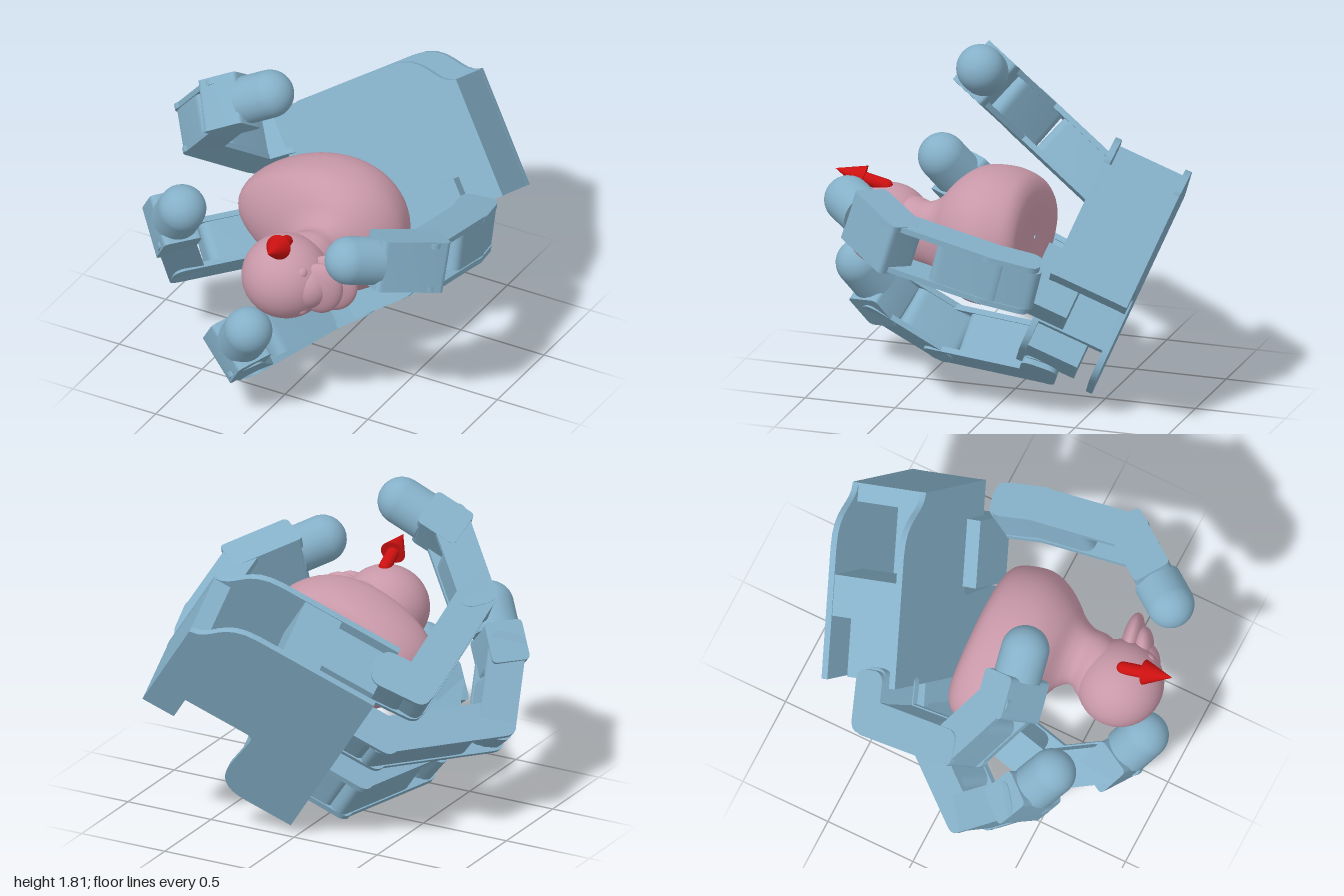
import * as THREE from 'three';
import { toCreasedNormals } from 'three/addons/utils/BufferGeometryUtils.js';

const V = (x, y, z) => new THREE.Vector3(x, y, z);
const blue = new THREE.MeshStandardMaterial({ color: 0x85b0c8, side: THREE.DoubleSide });
const pink = new THREE.MeshStandardMaterial({ color: 0xc898a8 });
const red = new THREE.MeshStandardMaterial({ color: 0xcc1010 });

// Palm frame: origin at the middle of the finger edge
const O = V(-0.22, 0.61, -0.29);
const palmNormal = V(0.14, 0.39, 0.91).normalize();
const fingerDir = V(-0.81, -0.48, 0.33).normalize();
const palmSide = fingerDir.clone().cross(palmNormal).normalize();

function add(parent, name, geo, mat, x = 0, y = 0, z = 0) {
  const m = new THREE.Mesh(geo, mat);
  m.name = name;
  m.position.set(x, y, z);
  parent.add(m);
  return m;
}

function box(parent, name, [x0, x1], [y0, y1], [z0, z1]) {
  return add(parent, name, new THREE.BoxGeometry(x1 - x0, y1 - y0, z1 - z0), blue,
    (x0 + x1) / 2, (y0 + y1) / 2, (z0 + z1) / 2);
}

function extrude(shape, z0, z1) {
  const g = new THREE.ExtrudeGeometry(shape, { depth: z1 - z0, bevelEnabled: false, curveSegments: 8 });
  return toCreasedNormals(g.translate(0, 0, z0), 0.6);
}

function roundedRect(x0, x1, h, r) {
  const s = new THREE.Shape();
  s.moveTo(x0 + r, -h);
  s.lineTo(x1 - r, -h).quadraticCurveTo(x1, -h, x1, -h + r);
  s.lineTo(x1, h - r).quadraticCurveTo(x1, h, x1 - r, h);
  s.lineTo(x0 + r, h).quadraticCurveTo(x0, h, x0, h - r);
  s.lineTo(x0, -h + r).quadraticCurveTo(x0, -h, x0 + r, -h);
  return s;
}

// Group whose x runs from a to b and whose z is the hinge axis
function boneFrame(a, b, hinge, name) {
  const g = new THREE.Group();
  g.name = name;
  const x = b.clone().sub(a).normalize();
  const z = hinge.clone().addScaledVector(x, -hinge.dot(x)).normalize();
  g.quaternion.setFromRotationMatrix(new THREE.Matrix4().makeBasis(x, z.clone().cross(x), z));
  g.position.copy(a);
  return g;
}

// Finger bone: two cheeks, a core with an open fork, and a hinge pin
function link(parent, a, b, hinge, name, gap = 0.22) {
  const g = boneFrame(a, b, hinge, name);
  const len = a.distanceTo(b), w = 0.135, h = 0.1;
  const cheek = roundedRect(-0.07, len + 0.09, h, 0.07);
  add(g, 'cheek', extrude(cheek, w - 0.03, w), blue);
  add(g, 'cheek', extrude(cheek, -w, -w + 0.03), blue);
  add(g, 'core', extrude(roundedRect(-0.085, len + 0.1 - gap, h - 0.008, 0.06), -w + 0.03, w - 0.03), blue);
  const pin = add(g, 'hingePin', new THREE.CylinderGeometry(0.075, 0.075, 2 * w - 0.06, 20), blue, len);
  pin.rotation.x = Math.PI / 2;
  parent.add(g);
}

// Last bone: square root block and a round-ended tip
function tip(parent, a, b, hinge, name) {
  const g = boneFrame(a, b, hinge, name);
  const len = a.distanceTo(b), r = 0.128;
  add(g, 'tipBlock', extrude(roundedRect(-0.09, Math.max(0.13, len - 0.14), 0.105, 0.03), -0.14, 0.14), blue);
  const barrel = add(g, 'tipBarrel', new THREE.CylinderGeometry(r, r, 0.16, 32), blue, len - 0.08);
  barrel.rotation.z = Math.PI / 2;
  add(g, 'fingertip', new THREE.SphereGeometry(r, 32, 20), blue, len);
  parent.add(g);
}

function buildPalm() {
  const g = new THREE.Group();
  g.name = 'palm';
  g.quaternion.setFromRotationMatrix(new THREE.Matrix4().makeBasis(palmSide, fingerDir, palmNormal));
  g.position.copy(O);
  // Plate outline with a flared side, a wrist foot and a notch for the thumb
  const s = new THREE.Shape();
  s.moveTo(-0.25, -1.03);
  s.lineTo(0.41, -1.03);
  s.bezierCurveTo(0.42, -0.9, 0.61, -0.93, 0.61, -0.7);
  s.lineTo(0.61, 0);
  s.lineTo(-0.56, 0);
  s.lineTo(-0.56, -0.28);
  s.quadraticCurveTo(-0.56, -0.45, -0.38, -0.45);
  s.lineTo(-0.13, -0.43);
  s.quadraticCurveTo(-0.09, -0.43, -0.09, -0.48);
  s.lineTo(-0.09, -0.84);
  s.lineTo(-0.25, -0.84);
  s.closePath();
  add(g, 'frontPlate', extrude(s, 0.085, 0.12), blue);
  add(g, 'backPlate', extrude(s, -0.32, -0.285), blue);
  // Walls and motor blocks between the plates
  const d = [-0.29, 0.09];
  box(g, 'wristBlock', [-0.249, 0.41], [-1.029, -0.93], d);
  box(g, 'wristFoot', [-0.249, -0.05], [-0.93, -0.841], d);
  box(g, 'notchWall', [-0.089, -0.05], [-0.841, -0.4], [-0.29, -0.05]);
  box(g, 'crossWall', [-0.4, 0.605], [-0.42, -0.34], d);
  box(g, 'sideWall', [0.3, 0.605], [-0.56, -0.42], d);
  for (const u of [-0.4, 0, 0.42]) box(g, 'fingerMotor', [u - 0.13, u + 0.13], [-0.36, -0.02], [-0.2, 0.09]);
  // Thumb drive housing in the notch
  box(g, 'thumbHousing', [-0.4, -0.07], [-0.84, -0.48], [-0.05, 0.2]);
  return g;
}

function buildFinger(name, offset, splay, p2, p3, end) {
  const g = new THREE.Group();
  g.name = name;
  const root = O.clone().addScaledVector(palmSide, offset);
  const dir = fingerDir.clone().addScaledVector(palmSide, splay).normalize();
  const p1 = root.clone().addScaledVector(dir, 0.18);
  const hinge = dir.clone().cross(p2.clone().sub(p1)).normalize();
  link(g, root, p1, hinge, 'knuckle', 0.12);
  link(g, p1, p2, hinge, 'proximalLink');
  link(g, p2, p3, hinge, 'middleLink');
  tip(g, p3, end, hinge, 'distalLink');
  return g;
}

function buildThumb() {
  const g = new THREE.Group();
  g.name = 'thumb';
  const hinge = V(0, 0.96, -0.28);
  const p = [V(0.71, 0.86, -0.28), V(0.75, 0.9, -0.12), V(0.79, 1.04, 0.41), V(0.525, 1.15, 0.75)];
  link(g, p[0], p[1], hinge, 'thumbKnuckle', 0.1);
  link(g, p[1], p[2], hinge, 'thumbLink', 0.34);
  tip(g, p[2], p[3], hinge, 'thumbDistalLink');
  return g;
}

// Smooth body lofted through [z, xMin, xMax, halfWidth] sections
function loft(rows) {
  const curves = [1, 2, 3].map(k => new THREE.CatmullRomCurve3(rows.map(r => V(r[k], 0, r[0])), false, 'centripetal'));
  const nu = 48, nv = 40, pos = [], idx = [];
  for (let j = 0; j <= nv; j++) {
    const [a, b, c] = curves.map(q => q.getPoint(j / nv));
    for (let i = 0; i < nu; i++) {
      const th = i / nu * Math.PI * 2, co = Math.cos(th);
      // Narrower toward the tail
      pos.push((a.x + b.x) / 2 + (b.x - a.x) / 2 * co, 0.88 + c.x * Math.sin(th) * (1 + 0.2 * co), (a.z + b.z + c.z) / 3);
      if (j < nv) {
        const p = j * nu + i, q = j * nu + (i + 1) % nu;
        idx.push(p, q, p + nu, q, q + nu, p + nu);
      }
    }
  }
  const g = new THREE.BufferGeometry();
  g.setAttribute('position', new THREE.Float32BufferAttribute(pos, 3));
  g.setIndex(idx);
  g.computeVertexNormals();
  return g;
}

function ellipsoid(parent, name, c, s) {
  const m = add(parent, name, new THREE.SphereGeometry(1, 40, 28), pink, ...c);
  m.scale.set(...s);
  return m;
}

function buildDuck() {
  const g = new THREE.Group();
  g.name = 'toyDuck';
  add(g, 'body', loft([
    [-0.12, 0.03, 0.05, 0.01], [-0.12, -0.33, 0.37, 0.24], [-0.08, -0.41, 0.43, 0.31],
    [0.0, -0.46, 0.465, 0.345], [0.1, -0.48, 0.48, 0.355], [0.2, -0.45, 0.45, 0.34],
    [0.29, -0.28, 0.39, 0.28], [0.36, -0.08, 0.33, 0.2], [0.43, -0.02, 0.3, 0.17],
    [0.5, -0.06, 0.3, 0.18], [0.6, -0.08, 0.27, 0.17],
  ]), pink);
  ellipsoid(g, 'head', [0.1, 0.88, 0.67], [0.235, 0.225, 0.23]);
  // Bill: two halves and the ridge joining the head
  ellipsoid(g, 'billLower', [0.34, 0.88, 0.62], [0.15, 0.165, 0.055]).rotation.y = 0.2;
  ellipsoid(g, 'billUpper', [0.32, 0.88, 0.69], [0.12, 0.15, 0.06]).rotation.y = 0.35;
  ellipsoid(g, 'billRidge', [0.24, 0.88, 0.69], [0.13, 0.13, 0.13]);
  for (const s of [-1, 1]) ellipsoid(g, 'eye', [0.25, 0.88 + s * 0.11, 0.76], [0.03, 0.035, 0.035]);
  return g;
}

function buildArrow() {
  const g = new THREE.Group();
  g.name = 'arrow';
  const a = V(0.11, 1.1, 0.68), b = V(0.15, 1.18, 0.95);
  const len = a.distanceTo(b);
  g.position.copy(a);
  g.quaternion.setFromUnitVectors(V(0, 1, 0), b.clone().sub(a).normalize());
  add(g, 'shaft', new THREE.CylinderGeometry(0.034, 0.034, len / 2, 20), red, 0, len / 4);
  add(g, 'shaftEnd', new THREE.SphereGeometry(0.034, 20, 12), red);
  add(g, 'arrowHead', new THREE.ConeGeometry(0.068, 0.16, 24), red, 0, len - 0.08);
  return g;
}

export function createModel() {
  const model = new THREE.Group();
  model.name = 'robotHandHoldingDuck';
  model.add(
    buildPalm(),
    buildFinger('upperFinger', 0.47, 0.087, V(-0.72, 1.26, 0.14), V(-0.47, 1.56, 0.31), V(-0.22, 1.69, 0.27)),
    buildFinger('middleFinger', 0, 0, V(-0.77, 0.52, 0.25), V(-0.7, 0.84, 0.48), V(-0.565, 1.05, 0.6)),
    buildFinger('lowerFinger', -0.43, -0.03, V(-0.26, 0.185, 0.45), V(-0.15, 0.4, 0.76), V(-0.015, 0.61, 0.87)),
    buildThumb(),
    buildDuck(),
    buildArrow(),
  );
  return model;
}
